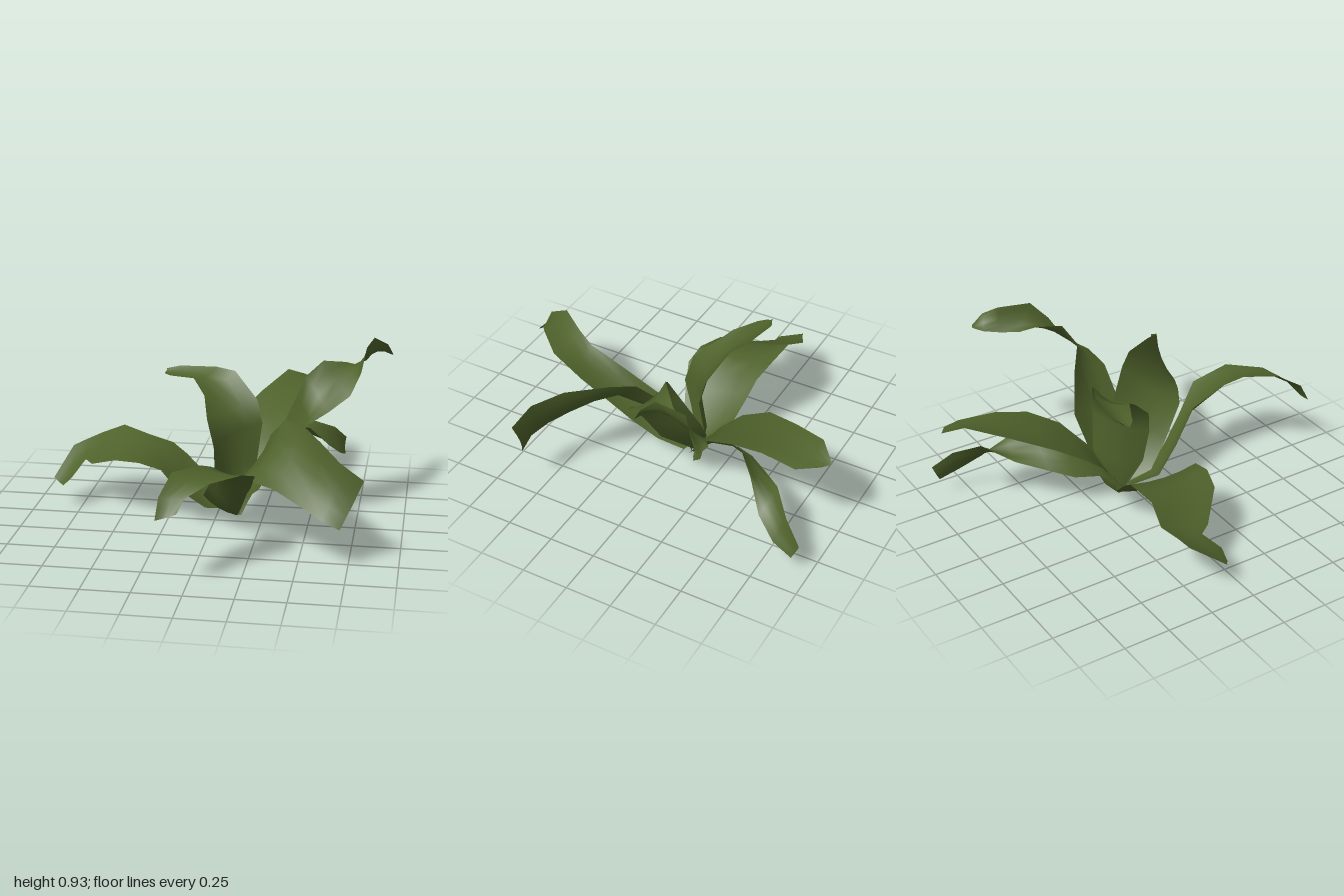
import * as THREE from 'three';

const leafGreen = new THREE.MeshStandardMaterial({ color: 0x4f622b, side: THREE.DoubleSide });
leafGreen.name = 'leafGreen';

// A leaf blade: each station gives its two edge points, [x,y,z, x,y,z].
// The midrib is pushed off the chord by sag * width, making a shallow channel.
function makeLeaf(name, sag, stations) {
  const columns = 4, positions = [], index = [];
  const left = stations.map(s => new THREE.Vector3(s[0], s[1], s[2]));
  const right = stations.map(s => new THREE.Vector3(s[3], s[4], s[5]));
  const mid = left.map((p, i) => p.clone().lerp(right[i], 0.5));
  const last = stations.length - 1;
  for (let i = 0; i <= last; i++) {
    const along = mid[Math.min(i + 1, last)].clone().sub(mid[Math.max(i - 1, 0)]);
    const across = right[i].clone().sub(left[i]);
    const normal = along.cross(across).normalize();
    for (let j = 0; j <= columns; j++) {
      const t = j / columns;
      const p = left[i].clone().lerp(right[i], t);
      p.addScaledVector(normal, -sag * across.length() * 4 * t * (1 - t));
      positions.push(p.x, p.y, p.z);
    }
  }
  for (let i = 0; i < last; i++) {
    for (let j = 0; j < columns; j++) {
      const a = i * (columns + 1) + j, b = a + columns + 1;
      if (sag > 0) index.push(a, b, a + 1, b, b + 1, a + 1);
      else index.push(a, a + 1, b, b, a + 1, b + 1);
    }
  }
  const geometry = new THREE.BufferGeometry();
  geometry.setAttribute('position', new THREE.Float32BufferAttribute(positions, 3));
  geometry.setIndex(index);
  geometry.computeVertexNormals();
  const mesh = new THREE.Mesh(geometry, leafGreen);
  mesh.name = name;
  return mesh;
}

export function createModel() {
  const plant = new THREE.Group();
  plant.name = 'plant';

  // Long leaf arching out to the side and drooping
  plant.add(makeLeaf('rightLeaf', 0.05, [
    [0.10, 0.08, -0.12, 0.06, 0.05, -0.05],
    [-0.07, 0.17, -0.22, -0.04, 0.09, 0.06],
    [-0.19, 0.28, -0.25, -0.19, 0.22, 0.13],
    [-0.27, 0.34, -0.26, -0.26, 0.32, 0.15],
    [-0.40, 0.37, -0.28, -0.38, 0.35, 0.14],
    [-0.55, 0.41, -0.31, -0.52, 0.34, 0.09],
    [-0.68, 0.35, -0.34, -0.68, 0.26, -0.06],
    [-0.76, 0.32, -0.30, -0.73, 0.26, -0.13],
    [-0.83, 0.29, -0.27, -0.79, 0.18, -0.05],
    [-0.90, 0.16, -0.09, -0.84, 0.13, -0.05],
  ]));

  // Leaf reaching forward
  plant.add(makeLeaf('frontLeaf', 0.08, [
    [0.05, 0.08, -0.06, 0.14, 0.07, -0.04],
    [-0.05, 0.16, 0.06, 0.14, 0.08, 0.12],
    [0.00, 0.27, 0.20, 0.18, 0.18, 0.25],
    [0.07, 0.42, 0.36, 0.22, 0.29, 0.36],
    [0.07, 0.50, 0.56, 0.28, 0.44, 0.50],
    [0.03, 0.54, 0.66, 0.24, 0.51, 0.69],
    [-0.08, 0.55, 0.81, 0.10, 0.51, 0.84],
    [-0.12, 0.47, 0.94, 0.00, 0.46, 0.92],
    [-0.13, 0.37, 0.99, -0.03, 0.40, 0.97],
  ]));

  // Broad leaf turned on edge, with a blunt tip
  plant.add(makeLeaf('frontLeftLeaf', 0.08, [
    [0.08, 0.08, -0.08, 0.16, 0.10, -0.10],
    [0.03, 0.15, 0.06, 0.24, 0.32, -0.08],
    [0.10, 0.26, 0.20, 0.30, 0.50, 0.00],
    [0.22, 0.37, 0.37, 0.38, 0.61, 0.10],
    [0.37, 0.36, 0.46, 0.47, 0.63, 0.20],
    [0.53, 0.30, 0.55, 0.59, 0.60, 0.40],
    [0.62, 0.26, 0.60, 0.70, 0.54, 0.53],
    [0.71, 0.22, 0.60, 0.82, 0.47, 0.57],
  ]));

  // Wide leaf reaching back, with a gentle twist
  plant.add(makeLeaf('backLeaf', -0.04, [
    [0.08, 0.08, -0.10, 0.15, 0.08, -0.10],
    [0.06, 0.24, -0.22, 0.24, 0.28, -0.20],
    [0.03, 0.34, -0.33, 0.36, 0.40, -0.31],
    [0.06, 0.45, -0.50, 0.42, 0.49, -0.47],
    [0.17, 0.53, -0.70, 0.45, 0.53, -0.65],
    [0.29, 0.60, -0.90, 0.48, 0.53, -0.84],
    [0.38, 0.55, -0.99, 0.43, 0.55, -0.95],
  ]));

  // Narrow low leaf below the back leaf, twisting halfway along
  plant.add(makeLeaf('lowerBackLeaf', -0.06, [
    [0.10, 0.08, -0.10, 0.15, 0.07, -0.08],
    [0.10, 0.17, -0.22, 0.18, 0.21, -0.18],
    [0.12, 0.20, -0.36, 0.24, 0.34, -0.33],
    [0.19, 0.24, -0.47, 0.34, 0.40, -0.48],
    [0.31, 0.28, -0.61, 0.45, 0.35, -0.59],
    [0.45, 0.35, -0.74, 0.55, 0.22, -0.69],
    [0.57, 0.28, -0.85, 0.61, 0.14, -0.80],
    [0.63, 0.19, -0.95, 0.63, 0.10, -0.91],
  ]));

  // Tallest leaf, twisting over near its tip
  plant.add(makeLeaf('tallLeftLeaf', -0.08, [
    [0.12, 0.10, -0.14, 0.12, 0.08, -0.05],
    [0.22, 0.30, -0.22, 0.24, 0.20, 0.04],
    [0.32, 0.45, -0.24, 0.36, 0.40, 0.07],
    [0.41, 0.65, -0.18, 0.50, 0.58, 0.06],
    [0.46, 0.78, -0.13, 0.60, 0.64, 0.02],
    [0.55, 0.86, -0.17, 0.70, 0.70, -0.08],
    [0.66, 0.83, -0.27, 0.75, 0.81, -0.14],
    [0.71, 0.80, -0.34, 0.77, 0.92, -0.24],
    [0.76, 0.80, -0.43, 0.80, 0.93, -0.42],
    [0.79, 0.82, -0.52, 0.87, 0.88, -0.48],
    [0.84, 0.83, -0.56, 0.90, 0.81, -0.53],
  ]));

  // Upright leaf curling over at the top
  plant.add(makeLeaf('uprightLeaf', -0.14, [
    [0.06, 0.08, -0.08, 0.14, 0.08, -0.12],
    [0.00, 0.25, -0.01, 0.20, 0.28, -0.20],
    [0.00, 0.42, 0.03, 0.23, 0.50, -0.18],
    [-0.04, 0.56, 0.00, 0.20, 0.62, -0.20],
    [-0.07, 0.66, -0.10, 0.07, 0.755, -0.27],
    [-0.14, 0.73, -0.18, -0.04, 0.76, -0.32],
    [-0.28, 0.72, -0.25, -0.24, 0.75, -0.35],
    [-0.32, 0.72, -0.29, -0.31, 0.74, -0.32],
  ]));

  // Small pointed flap where the leaves meet
  plant.add(makeLeaf('baseFlap', 0.1, [
    [0.04, 0.08, -0.05, 0.20, 0.13, -0.18],
    [0.06, 0.05, -0.07, 0.16, 0.06, -0.15],
    [0.11, 0.01, -0.08, 0.13, 0.00, -0.09],
  ]));

  return plant;
}
